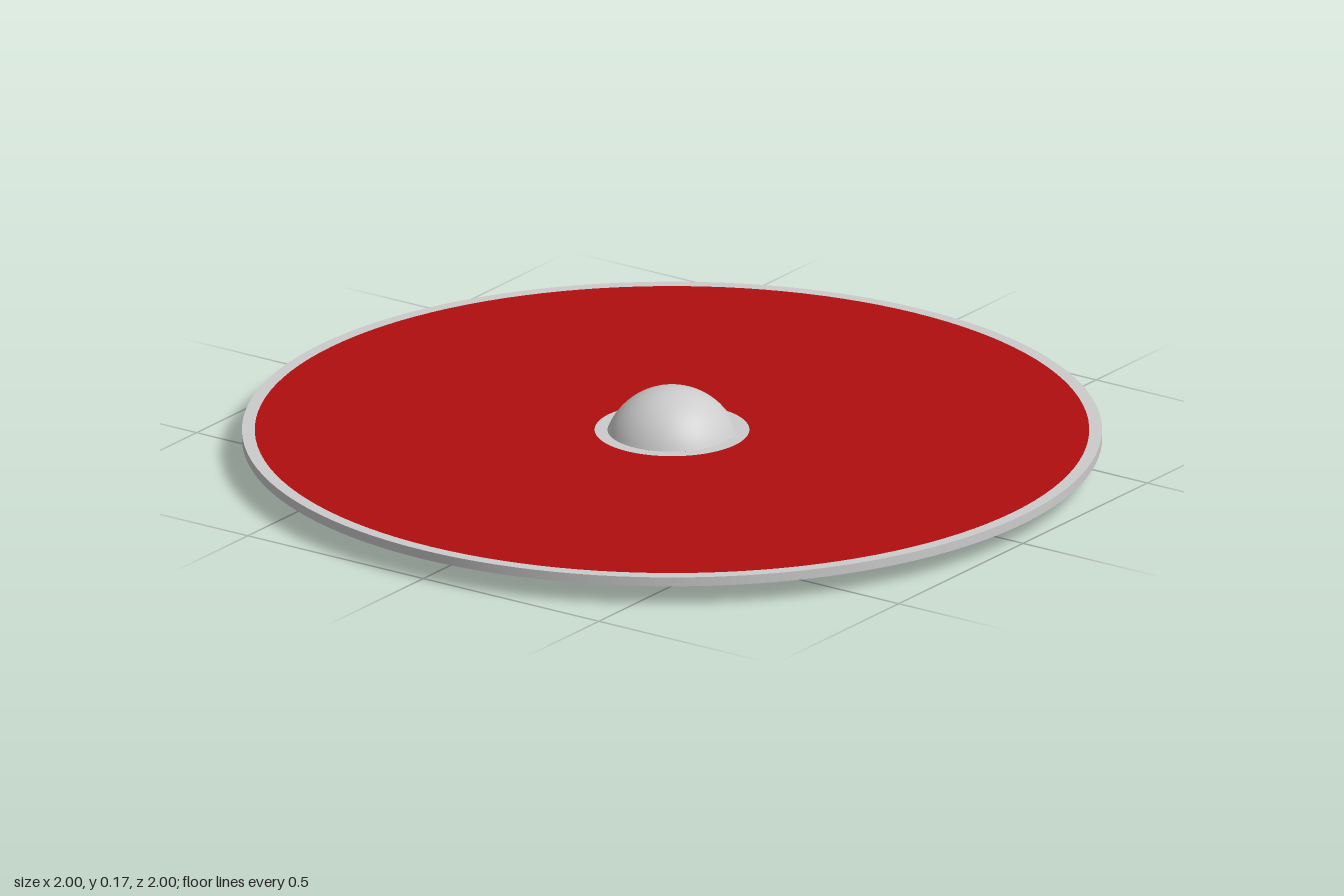
import * as THREE from 'three';

const steel = new THREE.MeshStandardMaterial({ color: 0xcccccc });
steel.name = 'pale steel';
const paint = new THREE.MeshStandardMaterial({ color: 0xb00e0e });
paint.name = 'red paint';
const wood = new THREE.MeshStandardMaterial({ color: 0x5c2a1c });
wood.name = 'brown wood';

const BOTTOM = 0.048, TOP = 0.07, SEGMENTS = 128;
const HOLE = 0.15, FLANGE = 0.18, BOARD = 0.97, EDGE = 1;

// Surface of revolution; each lathe keeps its own normals, so edges between them stay sharp
function turned(name, points, material, segments = SEGMENTS) {
  const profile = points.map(([r, y]) => new THREE.Vector2(r, y));
  const mesh = new THREE.Mesh(new THREE.LatheGeometry(profile, segments), material);
  mesh.name = name;
  return mesh;
}

// Top and bottom faces of a flat ring
function ring(name, inner, outer, material) {
  const group = new THREE.Group();
  group.name = name;
  group.add(
    turned(name + 'Top', [[outer, TOP], [inner, TOP]], material),
    turned(name + 'Bottom', [[inner, BOTTOM], [outer, BOTTOM]], material),
  );
  return group;
}

// Spherical cap points from the base up to the apex
function capProfile(radius, height, steps = 16) {
  const R = (radius * radius + height * height) / (2 * height);
  const span = Math.asin(radius / R);
  return Array.from({ length: steps + 1 }, (_, i) => {
    const a = span * (1 - i / steps);
    return [i === steps ? 0 : R * Math.sin(a), TOP + height - R + R * Math.cos(a)];
  });
}

export function createModel() {
  const shield = new THREE.Group();
  shield.name = 'roundShield';

  // Painted board
  shield.add(ring('board', FLANGE, BOARD, paint));

  // Metal rim around the board
  const rim = ring('rim', BOARD, EDGE, steel);
  rim.add(turned('rimEdge', [[EDGE, BOTTOM], [EDGE, TOP]], steel));
  shield.add(rim);

  // Hollow central boss with its flange
  const boss = new THREE.Group();
  boss.name = 'boss';
  boss.add(
    ring('bossFlange', HOLE, FLANGE, steel),
    turned('bossHoleWall', [[HOLE, TOP], [HOLE, BOTTOM]], steel),
    turned('bossDome', capProfile(HOLE, 0.102), steel, 64),
    turned('bossInside', capProfile(HOLE, 0.098).reverse(), steel, 64),
  );
  shield.add(boss);

  // Grip bar across the back, with softened ends
  const r = 0.023, half = 0.41, soft = 0.008;
  const handle = new THREE.Group();
  handle.name = 'handle';
  handle.add(
    turned('handleBar', [[r, -half + soft], [r, half - soft]], wood, 24),
    turned('handleFrontEnd', [[r, half - soft], [r * 0.9, half - 0.002], [r * 0.7, half], [0, half]], wood, 24),
    turned('handleBackEnd', [[0, -half], [r * 0.7, -half], [r * 0.9, -half + 0.002], [r, -half + soft]], wood, 24),
  );
  handle.rotation.x = Math.PI / 2;
  handle.position.y = r;
  shield.add(handle);

  return shield;
}
